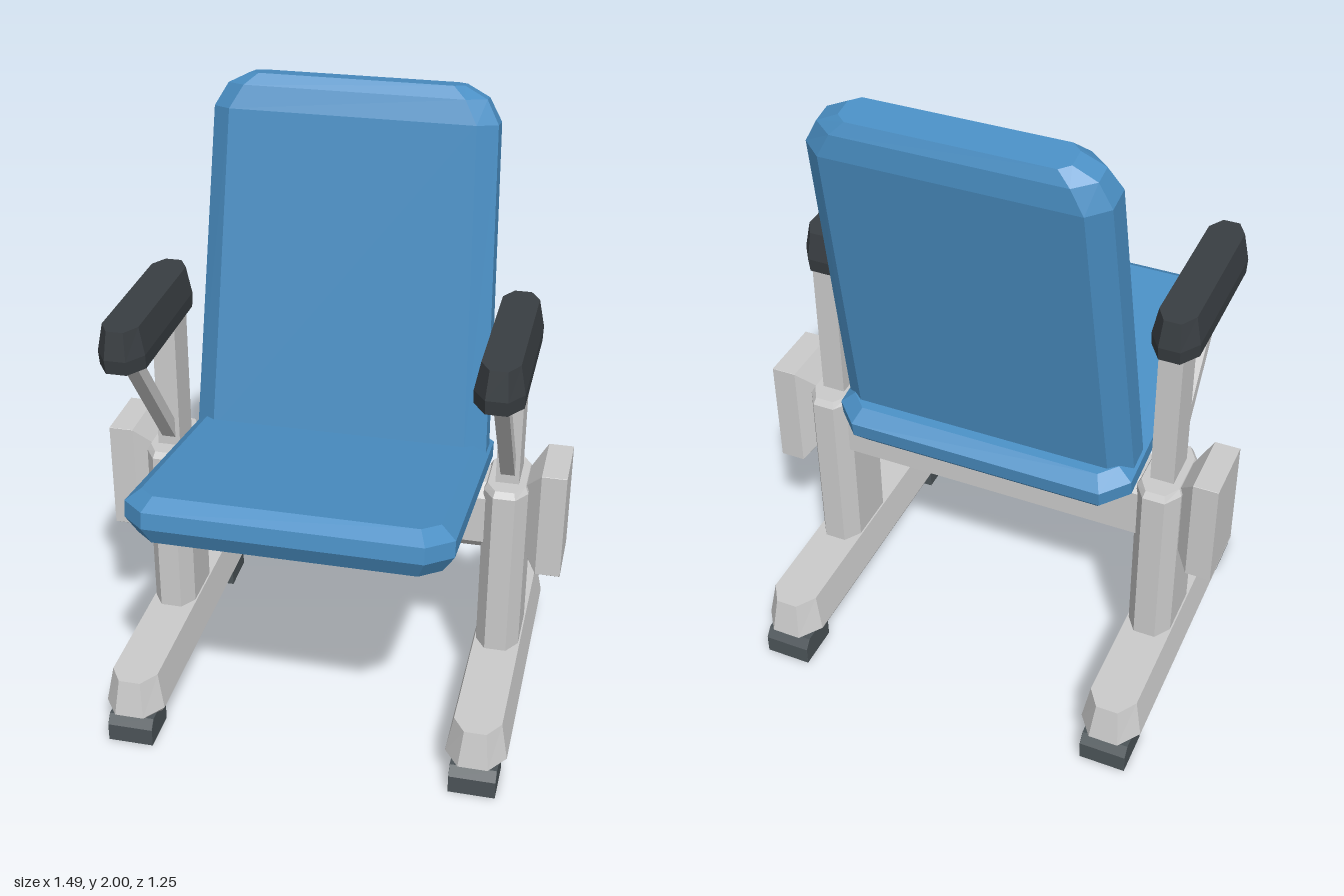
import * as THREE from 'three';

const mat = (color) => new THREE.MeshStandardMaterial({ color, flatShading: true });

// Ring of a rectangle with cut corners at height y: half sizes hx, hz, cuts cx, cz
function ring([y, hx, hz, cx = 0.001, cz = cx]) {
  const x = hx - cx, z = hz - cz;
  return [[hx, -z], [hx, z], [x, hz], [-x, hz], [-hx, z], [-hx, -z], [-x, -hz], [x, -hz]]
    .map(([a, b]) => [a, y, b]);
}

// Closed faceted solid through a stack of cut-corner sections
function loft(layers) {
  const rings = layers.map(ring), pos = [];
  const tri = (...p) => p.forEach((q) => pos.push(...q));
  const last = rings.length - 1;
  for (let i = 0; i < 8; i++) {
    const j = (i + 1) % 8;
    for (let k = 0; k < last; k++) {
      const a = rings[k], b = rings[k + 1];
      tri(a[i], b[i], a[j]);
      tri(a[j], b[i], b[j]);
    }
    tri([0, layers[0][0], 0], rings[0][i], rings[0][j]);
    tri([0, layers[last][0], 0], rings[last][j], rings[last][i]);
  }
  const g = new THREE.BufferGeometry();
  g.setAttribute('position', new THREE.Float32BufferAttribute(pos, 3));
  g.computeVertexNormals();
  return g;
}

export function createModel() {
  const root = new THREE.Group();
  root.name = 'chair';
  const grey = mat(0xcccccc), blue = mat(0x4a8fc4), dark = mat(0x393e42), rubber = mat(0x4c5458);

  const add = (name, geometry, material, x, y, z, parent = root) => {
    const m = new THREE.Mesh(geometry, material);
    m.name = name;
    m.position.set(x, y, z);
    parent.add(m);
    return m;
  };

  // Tilted seat cushion
  const seat = add('seat', loft([
    [-0.07, 0.45, 0.45, 0.06],
    [-0.016, 0.485, 0.487, 0.075],
    [0.035, 0.485, 0.487, 0.075],
    [0.071, 0.44, 0.442, 0.05],
  ]), blue, 0, 0.88, 0.145);
  seat.rotation.x = -THREE.MathUtils.degToRad(9);

  // Leaning, tapering backrest
  const back = add('backrest', loft([
    [-0.03, 0.476, 0.09, 0.065, 0.05],
    [1.0, 0.44, 0.091, 0.06, 0.05],
    [1.072, 0.40, 0.076, 0.06, 0.045],
    [1.108, 0.33, 0.054, 0.03, 0.025],
  ]), blue, 0, 0.9, -0.185);
  back.rotation.x = -THREE.MathUtils.degToRad(10.5);

  // Cross beam between the columns
  const beam = add('crossBeam', loft([
    [-0.52, 0.12, 0.095, 0.04],
    [0.52, 0.12, 0.095, 0.04],
  ]), grey, 0, 0.69, -0.13);
  beam.rotation.z = -Math.PI / 2;

  for (const s of [1, -1]) {
    const side = new THREE.Group();
    side.name = s > 0 ? 'leftSide' : 'rightSide';
    side.position.x = 0.556 * s;
    root.add(side);

    // Floor bar and its rubber pads
    add('footBar', loft([
      [0.05, 0.07, 0.475, 0.035, 0.05],
      [0.105, 0.097, 0.543, 0.05, 0.07],
      [0.225, 0.075, 0.52, 0.04, 0.06],
    ]), grey, 0, 0, -0.08, side);
    for (const z of [0.39, -0.553]) {
      add('footPad', loft([
        [0, 0.074, 0.073],
        [0.06, 0.074, 0.073],
        [0.09, 0.074, 0.05],
      ]), rubber, 0, 0, z, side);
    }

    // Column, arm post and diagonal strut
    add('column', loft([
      [0.2, 0.07, 0.135, 0.035, 0.052],
      [0.8, 0.07, 0.135, 0.035, 0.052],
      [0.82, 0.06, 0.122, 0.03, 0.048],
    ]), grey, 0, 0, -0.13, side);
    add('armPost', new THREE.BoxGeometry(0.074, 0.54, 0.125), grey, 0, 1.05, -0.128, side);
    const strut = add('armStrut', new THREE.BoxGeometry(0.045, 0.6, 0.042), grey, 0, 1.065, 0.075, side);
    strut.rotation.x = Math.atan2(0.31, 0.4);

    // Arm pad
    add('armrest', loft([
      [1.285, 0.072, 0.285, 0.04, 0.06],
      [1.33, 0.073, 0.291, 0.04, 0.06],
      [1.418, 0.056, 0.277, 0.03, 0.05],
    ]), dark, 0, 0, 0.075, side);

    // Outer housing, narrowing towards the column
    const housing = add('sideHousing', loft([
      [0.06, 0.115, 0.06],
      [0.11, 0.18, 0.108],
      [0.189, 0.18, 0.108],
    ]), grey, 0, 0.7, -0.133, side);
    housing.rotation.z = -s * Math.PI / 2;
  }
  return root;
}
